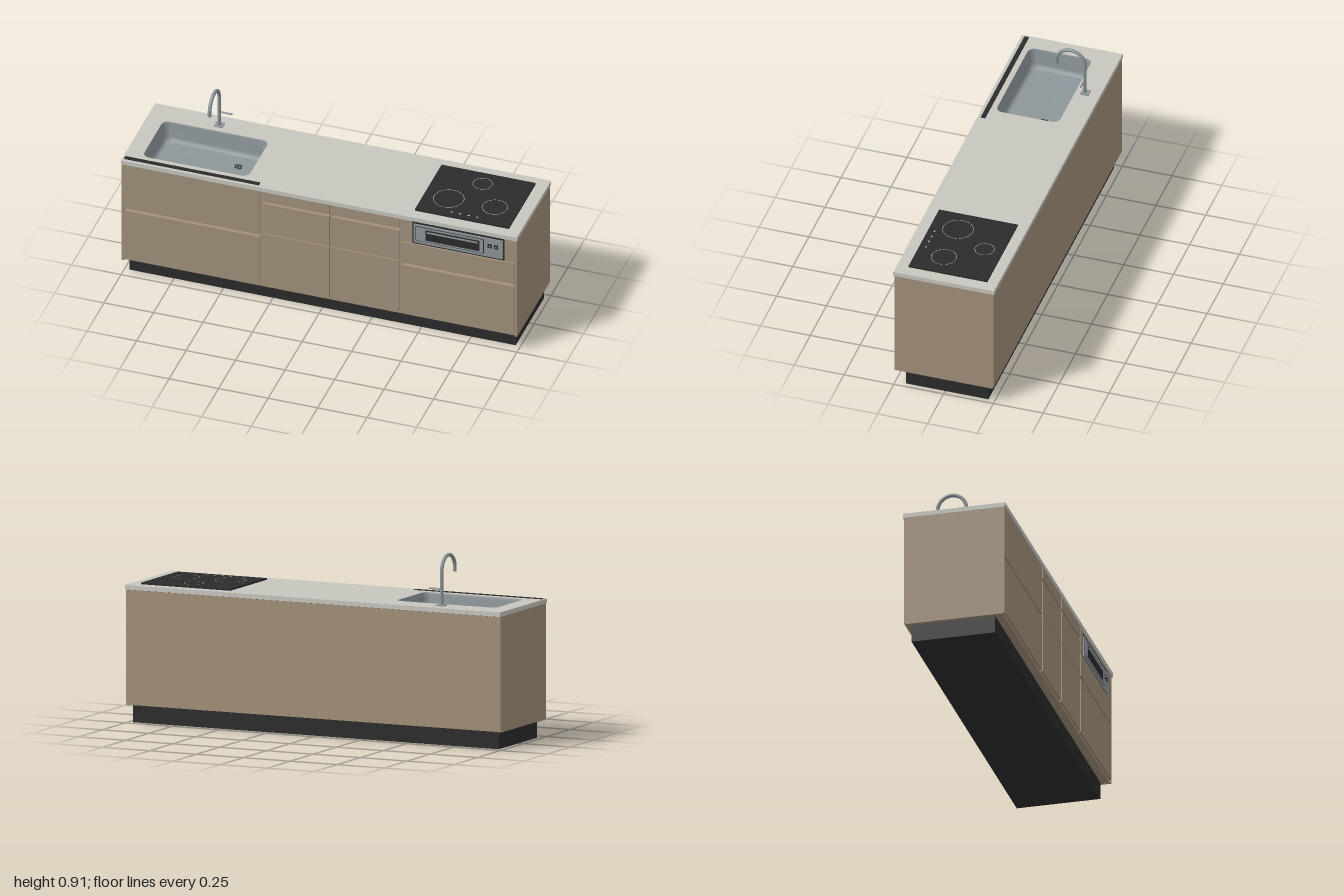
import * as THREE from 'three';

const mat = (name, color, side = THREE.FrontSide) => {
  const m = new THREE.MeshStandardMaterial({ color, side });
  m.name = name;
  return m;
};

// Rounded rectangle outline, y of the 2D plane = -z of the model
function roundedPath(Type, x0, x1, z0, z1, r) {
  const p = new Type();
  p.absarc(x1 - r, -z0 - r, r, 0, Math.PI / 2);
  p.absarc(x0 + r, -z0 - r, r, Math.PI / 2, Math.PI);
  p.absarc(x0 + r, -z1 + r, r, Math.PI, Math.PI * 1.5);
  p.absarc(x1 - r, -z1 + r, r, Math.PI * 1.5, Math.PI * 2);
  p.closePath();
  return p;
}

export function createModel() {
  const root = new THREE.Group();
  root.name = 'kitchenIsland';
  const wood = mat('tan cabinet', 0xa18f79);
  const stone = mat('pale worktop', 0xc6c5be);
  const black = mat('matte black', 0x2b2b2b);
  const steel = mat('steel', 0x8d969a, THREE.DoubleSide);
  const gap = mat('shadow gap', 0x39332d);
  const print = mat('hob markings', 0xb8b8b8);

  const add = (name, geo, material, x = 0, y = 0, z = 0, parent = root) => {
    const m = new THREE.Mesh(geo, material);
    m.name = name;
    m.position.set(x, y, z);
    parent.add(m);
    return m;
  };
  // Box from its minimum and maximum on each axis
  const box = (name, material, x0, x1, y0, y1, z0, z1, parent = root) =>
    add(name, new THREE.BoxGeometry(x1 - x0, y1 - y0, z1 - z0), material,
      (x0 + x1) / 2, (y0 + y1) / 2, (z0 + z1) / 2, parent);

  // Plinth and cabinet shell
  box('plinth', black, -0.975, 0.975, 0, 0.086, -0.217, 0.197);
  box('bottomPanel', wood, -0.986, 0.986, 0.086, 0.1, -0.236, 0.238);
  for (const s of [-1, 1]) {
    const a = s * 0.986, b = s * 0.998;
    box('sidePanel', wood, Math.min(a, b), Math.max(a, b), 0.085, 0.646, -0.244, 0.246);
  }
  box('backPanel', wood, -0.996, 0.996, 0.09, 0.643, -0.249, -0.2445);
  box('backLining', gap, -0.986, 0.986, 0.1, 0.646, -0.2445, -0.236);
  box('frontLining', gap, -0.986, 0.986, 0.1, 0.646, 0.215, 0.225);
  for (const x of [-0.295, 0.057, 0.411])
    box('divider', wood, x - 0.006, x + 0.006, 0.088, 0.646, 0.22, 0.24);

  // Drawer and door fronts: x range, then the y ranges stacked in that column
  const columns = [
    [-0.985, -0.301, [[0.099, 0.376], [0.39, 0.644]]],
    [-0.289, 0.051, [[0.099, 0.398], [0.402, 0.573], [0.586, 0.644]]],
    [0.063, 0.405, [[0.099, 0.398], [0.402, 0.573], [0.586, 0.644]]],
    [0.417, 0.985, [[0.099, 0.376], [0.39, 0.51]]],
  ];
  for (const [x0, x1, rows] of columns)
    for (const [y0, y1] of rows) box('drawerFront', wood, x0, x1, y0, y1, 0.226, 0.249);

  // Grill set between two filler panels
  box('grillFiller', wood, 0.417, 0.468, 0.514, 0.644, 0.226, 0.246);
  box('grillFiller', wood, 0.935, 0.985, 0.514, 0.644, 0.226, 0.246);
  const grill = new THREE.Group();
  grill.name = 'grill';
  root.add(grill);
  box('grillSurround', black, 0.47, 0.933, 0.513, 0.644, 0.226, 0.244, grill);
  box('grillFace', steel, 0.477, 0.926, 0.522, 0.628, 0.24, 0.249, grill);
  box('grillDoorOutline', black, 0.488, 0.832, 0.535, 0.618, 0.247, 0.2495, grill);
  box('grillDoor', steel, 0.491, 0.829, 0.538, 0.615, 0.247, 0.251, grill);
  box('grillWindow', black, 0.538, 0.812, 0.547, 0.606, 0.249, 0.253, grill);
  box('grillHandle', steel, 0.548, 0.802, 0.591, 0.599, 0.252, 0.256, grill);
  for (const x of [0.863, 0.894]) {
    box('grillKnob', black, x - 0.01, x + 0.01, 0.577, 0.597, 0.248, 0.254, grill);
    box('knobMark', steel, x - 0.004, x + 0.004, 0.583, 0.591, 0.253, 0.255, grill);
  }

  // Worktop with the sink cut out
  const top = new THREE.Shape([
    new THREE.Vector2(-1, -0.253), new THREE.Vector2(1, -0.253),
    new THREE.Vector2(1, 0.253), new THREE.Vector2(-1, 0.253)]);
  top.holes.push(roundedPath(THREE.Path, -0.915, -0.38, -0.13, 0.187, 0.035));
  const topGeo = new THREE.ExtrudeGeometry(top, { depth: 0.022, bevelEnabled: false, curveSegments: 8 });
  topGeo.rotateX(-Math.PI / 2);
  add('worktop', topGeo, stone, 0, 0.645, 0);
  box('worktopRail', black, -0.99, -0.308, 0.667, 0.669, 0.214, 0.237);

  // Sink basin: rounded rectangles shrinking towards the floor
  const rings = [[0, 0.664], [0.003, 0.655], [0.008, 0.585], [0.012, 0.572], [0.02, 0.564], [0.032, 0.561]];
  const pos = [], idx = [];
  let n = 0;
  for (const [inset, y] of rings) {
    const pts = roundedPath(THREE.Path, -0.915 + inset, -0.38 - inset, -0.13 + inset, 0.187 - inset,
      0.036 - inset * 0.5).getPoints(8);
    n = pts.length;
    for (const p of pts) pos.push(p.x, y, -p.y);
  }
  for (let r = 0; r < rings.length - 1; r++)
    for (let i = 0; i < n; i++) {
      const a = r * n + i, b = r * n + (i + 1) % n;
      idx.push(a, b, a + n, b, b + n, a + n);
    }
  const last = (rings.length - 1) * n;
  pos.push(-0.6475, 0.56, 0.0285);
  for (let i = 0; i < n; i++) idx.push(last + i, last + (i + 1) % n, rings.length * n);
  const basin = new THREE.BufferGeometry();
  basin.setAttribute('position', new THREE.Float32BufferAttribute(pos, 3));
  basin.setIndex(idx);
  basin.computeVertexNormals();
  add('sinkBasin', basin, steel);

  // Drain with a small grille
  add('drain', new THREE.CylinderGeometry(0.023, 0.023, 0.004, 24), steel, -0.5, 0.563, -0.018);
  for (const d of [-0.012, 0, 0.012]) {
    box('drainSlot', black, -0.502 + d, -0.498 + d, 0.563, 0.566, -0.036, 0);
    box('drainSlot', black, -0.518, -0.482, 0.563, 0.566, -0.02 + d, -0.016 + d);
  }

  // Tap: upright pipe, half-circle neck and short spout
  const neck = new THREE.CurvePath();
  const V = (y, z) => new THREE.Vector3(-0.65, y, z);
  const arc = [];
  for (let i = 0; i <= 16; i++) {
    const t = Math.PI * i / 16;
    arc.push(V(0.832 + 0.071 * Math.sin(t), -0.104 - 0.071 * Math.cos(t)));
  }
  neck.add(new THREE.LineCurve3(V(0.668, -0.175), arc[0]));
  neck.add(new THREE.CatmullRomCurve3(arc));
  neck.add(new THREE.LineCurve3(arc[16], V(0.814, -0.033)));
  add('tapNeck', new THREE.TubeGeometry(neck, 72, 0.009, 14), steel);
  const tip = add('tapOutlet', new THREE.CircleGeometry(0.009, 14), black, -0.65, 0.8145, -0.033);
  tip.rotation.x = Math.PI / 2;
  box('tapBase', steel, -0.671, -0.629, 0.667, 0.672, -0.199, -0.159);
  const lever = add('tapLever', new THREE.CylinderGeometry(0.0045, 0.0045, 0.066, 12), steel, -0.617, 0.747, -0.176);
  lever.rotation.z = Math.PI / 2;

  // Hob with printed cooking zones and touch marks
  box('hobGlass', black, 0.465, 0.94, 0.667, 0.675, -0.2, 0.195);
  for (const [x, z, r] of [[0.59, 0.06, 0.075], [0.703, -0.11, 0.048], [0.822, 0.056, 0.062]]) {
    const ring = add('cookingZone', new THREE.RingGeometry(r - 0.0025, r, 48), print, x, 0.6765, z);
    ring.rotation.x = -Math.PI / 2;
  }
  for (const x of [0.64, 0.683, 0.726, 0.769])
    box('touchMark', print, x - 0.006, x + 0.006, 0.675, 0.6765, 0.159, 0.165);

  return root;
}
